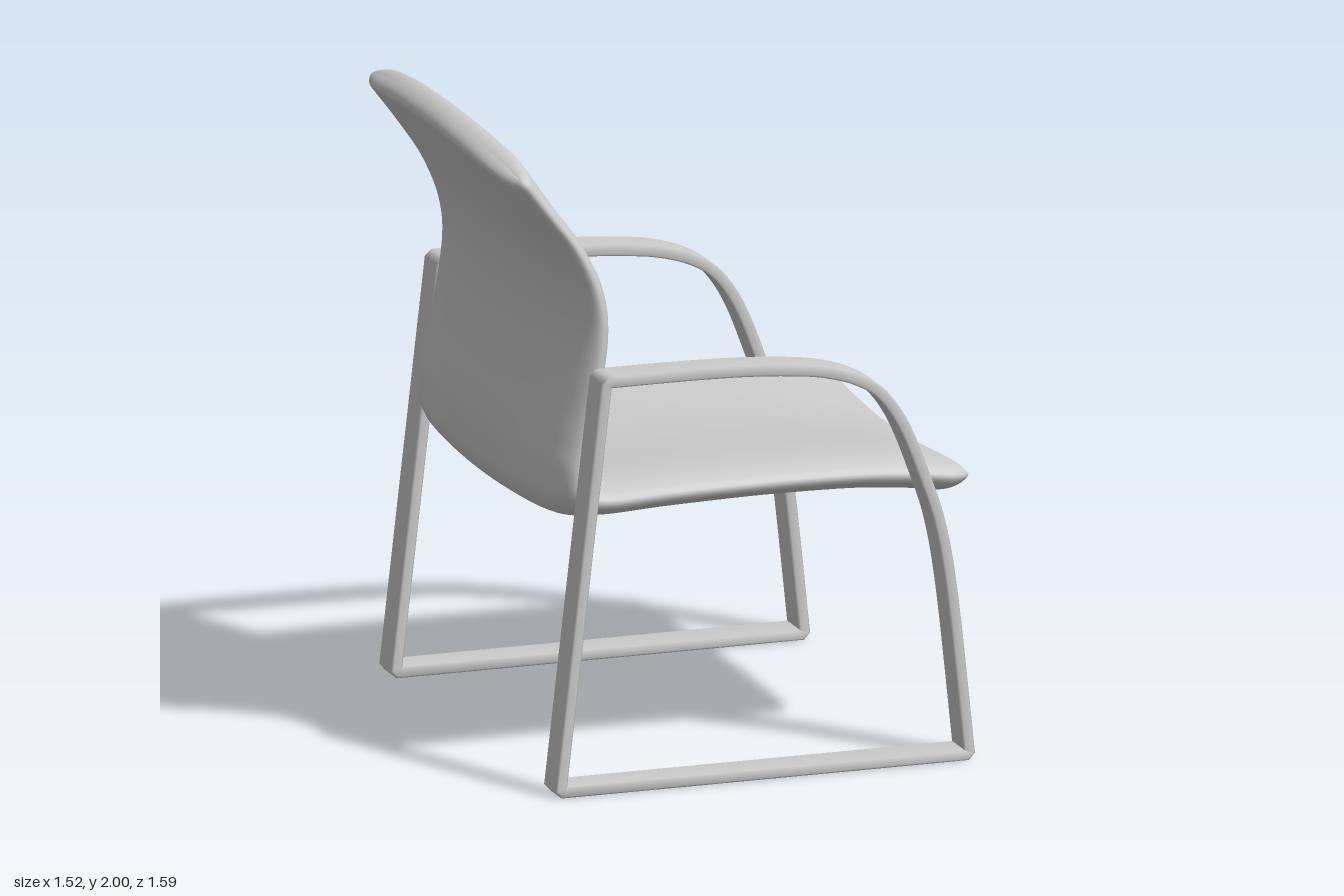
import * as THREE from 'three';

const material = new THREE.MeshStandardMaterial({ color: 0xcccccc });

// Shell control points, seat front to back top:
// x, y, half thickness, then how far the side edges shift in x and y
const SHELL = [
  [0.757, 0.802, 0.058, 0.008, 0.05],
  [0.68, 0.814, 0.058, 0.008, 0.045],
  [0.6, 0.83, 0.057, 0, 0.04],
  [0.4, 0.851, 0.056, 0, 0.035],
  [0.1, 0.86, 0.056, 0, 0.03],
  [-0.2, 0.855, 0.057, 0, 0.03],
  [-0.42, 0.848, 0.057, 0.01, 0.03],
  [-0.512, 0.877, 0.058, 0.025, 0.03],
  [-0.546, 0.96, 0.056, 0.04, 0.02],
  [-0.545, 1.06, 0.051, 0.055, 0],
  [-0.525, 1.2, 0.05, 0.068, 0],
  [-0.503, 1.4, 0.05, 0.075, 0],
  [-0.52, 1.55, 0.048, 0.075, -0.01],
  [-0.572, 1.7, 0.045, 0.065, -0.025],
  [-0.644, 1.84, 0.045, 0.052, -0.05],
  [-0.73, 1.986, 0.05, 0.042, -0.07],
];
const HEEL = 7 / 15;

// Quarter-round falloff from 0 at an end to 1 at distance r
const round = (d, r) => Math.sqrt(1 - Math.pow(1 - Math.min(d / r, 1), 2));

// Quads between a grid of rings, each ring closed; optionally closed end to end
function gridGeometry(positions, rings, count, closed) {
  const indices = [];
  for (let i = 0; i < (closed ? rings : rings - 1); i++) {
    for (let j = 0; j < count; j++) {
      const a = i * count + j, b = i * count + (j + 1) % count;
      const c = ((i + 1) % rings) * count + j, d = ((i + 1) % rings) * count + (j + 1) % count;
      indices.push(a, c, b, b, c, d);
    }
  }
  const geometry = new THREE.BufferGeometry();
  geometry.setAttribute('position', new THREE.Float32BufferAttribute(positions, 3));
  geometry.setIndex(indices);
  geometry.computeVertexNormals();
  return geometry;
}

// Padded shell: cross-sections swept along the seat and back profile
function shellGeometry() {
  const spline = (a, b, c) => new THREE.CatmullRomCurve3(
    SHELL.map(p => new THREE.Vector3(p[a], p[b], p[c])), false, 'catmullrom', 0.5);
  const path = spline(0, 1, 2), bow = spline(3, 4, 2);
  const rings = 181, half = 36, count = half * 2, width = 0.68;
  const start = path.getPoint(0), end = path.getPoint(1);
  const positions = [];
  for (let i = 0; i < rings; i++) {
    const t = 0.5 - 0.5 * Math.cos(Math.PI * i / (rings - 1));
    const p = path.getPoint(t), b = bow.getPoint(t), tan = path.getTangent(t);
    const len = Math.hypot(tan.x, tan.y);
    const nx = tan.y / len, ny = -tan.x / len;
    const dStart = Math.hypot(p.x - start.x, p.y - start.y);
    const dEnd = Math.hypot(p.x - end.x, p.y - end.y);
    const taper = round(dStart, 0.08) * round(dEnd, 0.03);
    const w = width - 0.06 * (1 - round(dStart, 0.08)) - 0.03 * (1 - round(dEnd, 0.04));
    // Fuller outer corner where the seat turns up into the back
    const heel = 0.022 * Math.exp(-(((t - HEEL) / 0.04) ** 2));
    // Both faces share one arc at the two ends, so the rims stay closed
    const rim = Math.max(THREE.MathUtils.smoothstep(p.y, 1.55, 1.95),
      1 - THREE.MathUtils.smoothstep(dStart, 0.03, 0.25));
    for (let j = 0; j < count; j++) {
      const u = Math.sin(-Math.PI / 2 + Math.PI * j / half);
      const inner = j < half;
      const edge = Math.sqrt(Math.max(0, 1 - Math.pow(u, 8)));
      const h = (inner ? p.z : -p.z - heel) * taper * edge;
      // Inner face dishes in a wave, outer face in a plain arc
      const wave = (1 - Math.cos(Math.PI * u)) / 2;
      const k = inner ? THREE.MathUtils.lerp(wave, u * u, rim) : u * u;
      positions.push(p.x + nx * h + b.x * k, p.y + ny * h + b.y * k, w * u);
    }
  }
  return gridGeometry(positions, rings, count, false);
}

// Mitred offset of a closed clockwise outline, outward for positive d
function offset(points, d) {
  const n = points.length;
  return points.map((p, i) => {
    const e1 = p.clone().sub(points[(i + n - 1) % n]).normalize();
    const e2 = points[(i + 1) % n].clone().sub(p).normalize();
    const n1 = new THREE.Vector2(-e1.y, e1.x), n2 = new THREE.Vector2(-e2.y, e2.x);
    return p.clone().addScaledVector(n1.clone().add(n2), d / (1 + n1.dot(n2)));
  });
}

// Flat-bar side frame: runner, rear leg, arm rest and front leg in one loop
function frameGeometry() {
  const d = 0.0175, z = 0.0575, c = 0.006;
  const arm = new THREE.SplineCurve([
    [-0.455, 1.289], [-0.2, 1.289], [0, 1.284], [0.15, 1.272], [0.25, 1.257], [0.35, 1.225],
    [0.43, 1.172], [0.5, 1.07], [0.565, 0.91], [0.62, 0.74], [0.66, 0.5], [0.712, d],
  ].map(p => new THREE.Vector2(...p))).getPoints(66);
  const heel = new THREE.Vector2(-0.602, d), toe = arm[arm.length - 1];
  // Slightly eased corners
  const toward = (p, q) => p.clone().add(q.clone().sub(p).setLength(0.01));
  const ease = (prev, p, next) => [toward(p, prev), toward(p, next)];
  const line = [
    ...ease(toe, heel, arm[0]),
    ...ease(heel, arm[0], arm[1]),
    ...arm.slice(1, -1),
    ...ease(arm[arm.length - 2], toe, heel),
  ];
  // Bar cross-section with chamfered edges: outward distance, z
  const section = [
    [d, z - c], [d, c - z], [d - c, -z], [c - d, -z],
    [-d, c - z], [-d, z - c], [c - d, z], [d - c, z],
  ];
  const loops = section.map(s => offset(line, s[0]));
  const positions = [];
  for (let i = 0; i < line.length; i++) {
    section.forEach((s, j) => positions.push(loops[j][i].x, loops[j][i].y, s[1]));
  }
  return gridGeometry(positions, line.length, section.length, true);
}

export function createModel() {
  const group = new THREE.Group();
  group.name = 'armchair';

  const shell = new THREE.Mesh(shellGeometry(), material);
  shell.name = 'seatAndBack';
  group.add(shell);

  // The seat opens towards +x, so its right side is +z
  const frame = frameGeometry();
  for (const side of [1, -1]) {
    const mesh = new THREE.Mesh(frame, material);
    mesh.name = side > 0 ? 'rightSideFrame' : 'leftSideFrame';
    mesh.position.z = side * 0.735;
    group.add(mesh);
  }
  return group;
}
